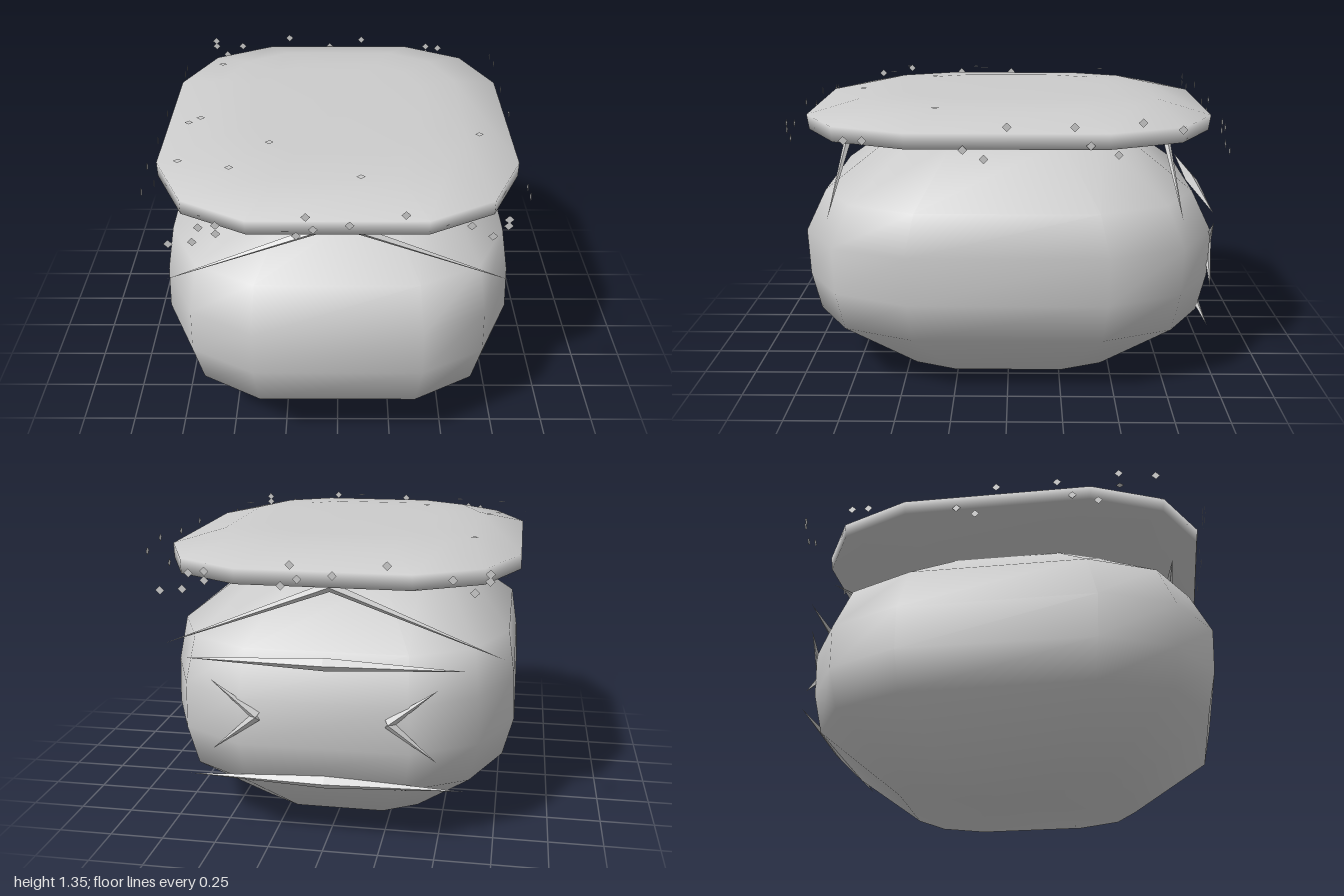
import * as THREE from 'three';

const grey = () => new THREE.MeshStandardMaterial({ color: 0xcccccc, side: THREE.DoubleSide });

// Unit outline of a box with faceted corners, walked once around
const corner = [[0.99, 0.46], [0.81, 0.81], [0.46, 0.98]];
const outline = [
  ...corner,
  ...corner.map(([x, z]) => [-x, z]).reverse(),
  ...corner.map(([x, z]) => [-x, -z]),
  ...corner.map(([x, z]) => [x, -z]).reverse(),
];

// Skin a stack of outlines; each level is [y, half width, half depth]
function pillow(name, levels) {
  const n = outline.length, pos = [], index = [];
  for (const [y, w, d] of levels) for (const [x, z] of outline) pos.push(x * w, y, z * d);
  const last = (levels.length - 1) * n;
  for (let i = 0; i < n; i++) {
    const j = (i + 1) % n;
    for (let k = 0; k < last; k += n) {
      index.push(k + i, k + n + i, k + j, k + j, k + n + i, k + n + j);
    }
    index.push(i, j, last + n, last + i, last + n + 1, last + j);
  }
  pos.push(0, levels[0][0], 0, 0, levels[levels.length - 1][0], 0);
  const geo = new THREE.BufferGeometry();
  geo.setAttribute('position', new THREE.Float32BufferAttribute(pos, 3));
  geo.setIndex(index);
  geo.computeVertexNormals();
  const mesh = new THREE.Mesh(geo, grey());
  mesh.name = name;
  return mesh;
}

// Thin four-sided spike from a thick base to a sharp tip
function spike(from, to, r) {
  const a = new THREE.Vector3(...from), b = new THREE.Vector3(...to);
  const dir = b.clone().sub(a);
  const geo = new THREE.ConeGeometry(r, dir.length(), 4);
  geo.translate(0, dir.length() / 2, 0);
  const mesh = new THREE.Mesh(geo, grey());
  mesh.position.copy(a);
  mesh.quaternion.setFromUnitVectors(new THREE.Vector3(0, 1, 0), dir.normalize());
  mesh.material.flatShading = true;
  return mesh;
}

// Two spikes sharing one base point
function chevron(name, apex, tips, r) {
  const g = new THREE.Group();
  g.name = name;
  for (const tip of tips) g.add(spike(apex, tip, r));
  return g;
}

// Small flat diamonds scattered on one side of the lid
function chips(name, points, place, turn) {
  const g = new THREE.Group();
  g.name = name;
  for (const [u, v] of points) {
    const m = new THREE.Mesh(new THREE.CircleGeometry(0.02, 4), grey());
    m.position.set(...place(u, v));
    m.rotation.set(...turn);
    g.add(m);
  }
  return g;
}

export function createModel() {
  const model = new THREE.Group();
  model.name = 'liddedPot';

  // Rounded body and the cushion-like lid
  model.add(pillow('body', [
    [0, 0.46, 0.57], [0.29, 0.78, 0.95], [0.48, 0.83, 0.99],
    [0.7, 0.82, 1.0], [0.9, 0.79, 0.9], [1.15, 0.46, 0.56],
  ]));
  model.add(pillow('lid', [
    [1.14, 0.46, 0.5], [1.2, 0.83, 0.96], [1.27, 0.83, 0.97], [1.33, 0.6, 0.72], [1.345, 0.4, 0.5],
  ]));

  // Peaked ridges under the lid, front and back
  for (const [name, z] of [['frontRidge', 0.8], ['backRidge', -0.78]]) {
    model.add(chevron(name, [0, 1.165, z], [[0.77, 0.87, z], [-0.77, 0.87, z]], 0.022));
  }

  // Raised marks on the back
  for (const [name, y] of [['upperBar', 0.86], ['lowerBar', 0.31]]) {
    model.add(chevron(name, [0, y, -0.94], [[0.62, y, -0.94], [-0.62, y, -0.94]], 0.03));
  }
  for (const s of [1, -1]) {
    model.add(chevron(s > 0 ? 'leftBackMark' : 'rightBackMark', [s * 0.29, 0.62, -0.98],
      [[s * 0.5, 0.78, -0.97], [s * 0.5, 0.45, -0.97]], 0.022));
  }

  // Chips around the lid
  const frontPts = [[-0.5, 1.26], [-0.5, 1.22], [-0.17, 1.21], [-0.1, 1.24], [-0.13, 1.3], [0.05, 1.26],
    [0.28, 1.31], [0.55, 1.26], [0.7, 1.29], [0.7, 1.26], [0.64, 1.21], [-0.57, 1.25], [-0.6, 1.18], [-0.7, 1.17]];
  const sidePts = [[0.7, 1.24], [0.1, 1.16], [0, 1.3], [-0.29, 1.3], [-0.48, 1.18], [-0.58, 1.32],
    [-0.75, 1.29], [-0.36, 1.22], [0.62, 1.24], [0.19, 1.2]];
  const topPts = [[-0.61, -0.5], [-0.65, 0.15], [-0.7, 0.2], [-0.31, 0.4], [-0.7, 0.58],
    [-0.47, 0.64], [0.1, 0.72], [0.65, 0.32]];
  const quarter = Math.PI / 2;
  model.add(chips('frontChips', frontPts, (u, v) => [u, v, 0.97], [0, 0, 0]));
  model.add(chips('backChips', frontPts, (u, v) => [-u, v, -0.98], [0, Math.PI, 0]));
  model.add(chips('leftChips', sidePts, (u, v) => [0.835, v, u], [0, quarter, 0]));
  model.add(chips('rightChips', sidePts, (u, v) => [-0.835, v, -u], [0, -quarter, 0]));
  model.add(chips('topChips', topPts, (u, v) => [u, 1.35, v], [-quarter, 0, 0]));

  return model;
}
